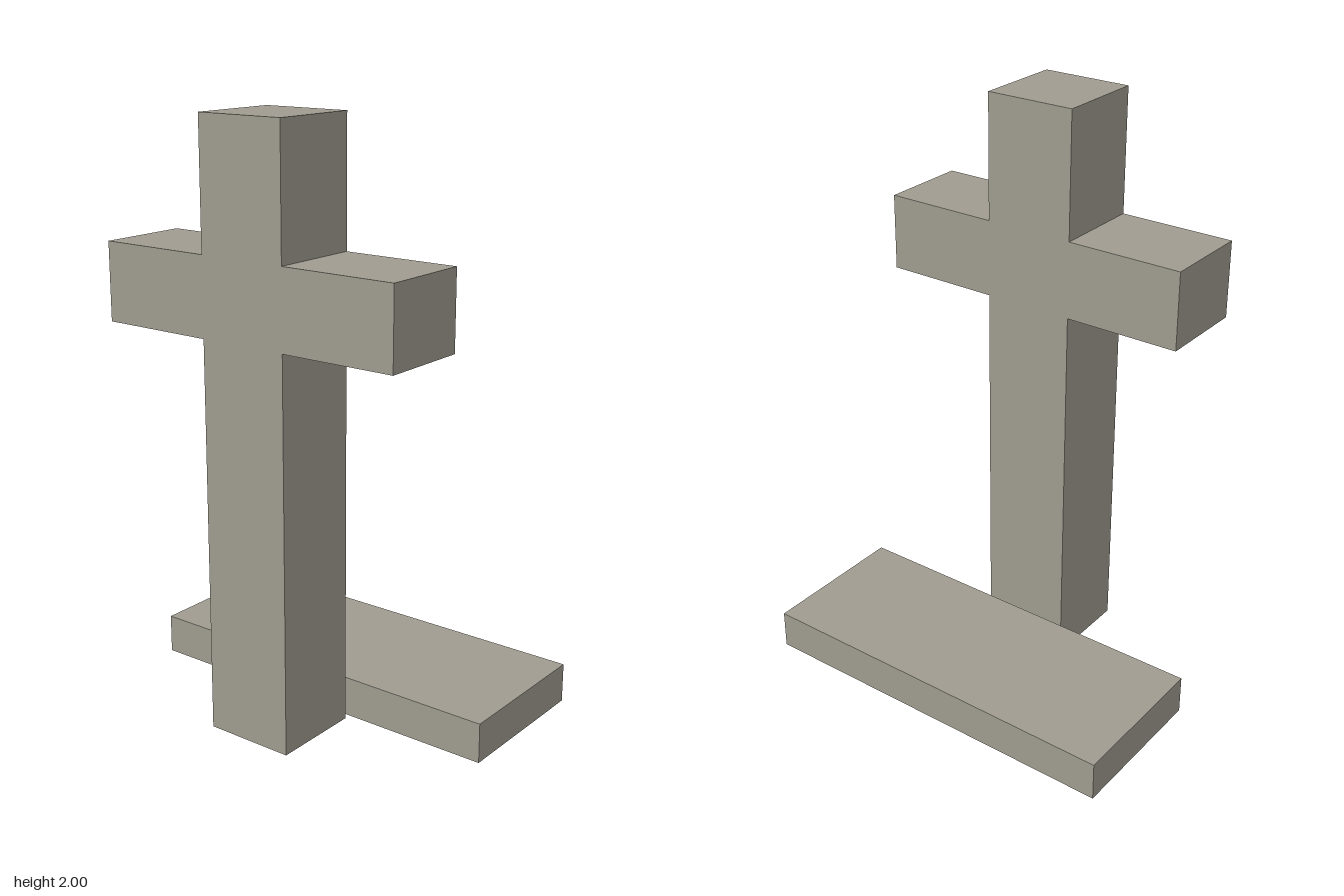
import * as THREE from 'three';

export function createModel() {
  const model = new THREE.Group();
  const stone = new THREE.MeshStandardMaterial({ color: 0xa09c90 });
  stone.name = 'weathered stone';

  // Upright cross: one outline, mirrored about x = 0, extruded along z
  const half = [[0.156, 0], [0.156, 1.317], [0.555, 1.317], [0.555, 1.578], [0.156, 1.578], [0.156, 2]];
  const mirrored = half.map(([x, y]) => [-x, y]).reverse();
  const outline = new THREE.Shape([...half, ...mirrored].map(([x, y]) => new THREE.Vector2(x, y)));
  const cross = new THREE.Mesh(
    new THREE.ExtrudeGeometry(outline, { depth: 0.312, bevelEnabled: false }), stone);
  cross.name = 'cross';
  cross.position.z = 0.122;
  model.add(cross);

  // Flat slab lying behind the cross
  const slab = new THREE.Mesh(new THREE.BoxGeometry(1.332, 0.136, 0.532), stone);
  slab.name = 'graveSlab';
  slab.position.set(0, 0.068, -0.168);
  model.add(slab);

  return model;
}
